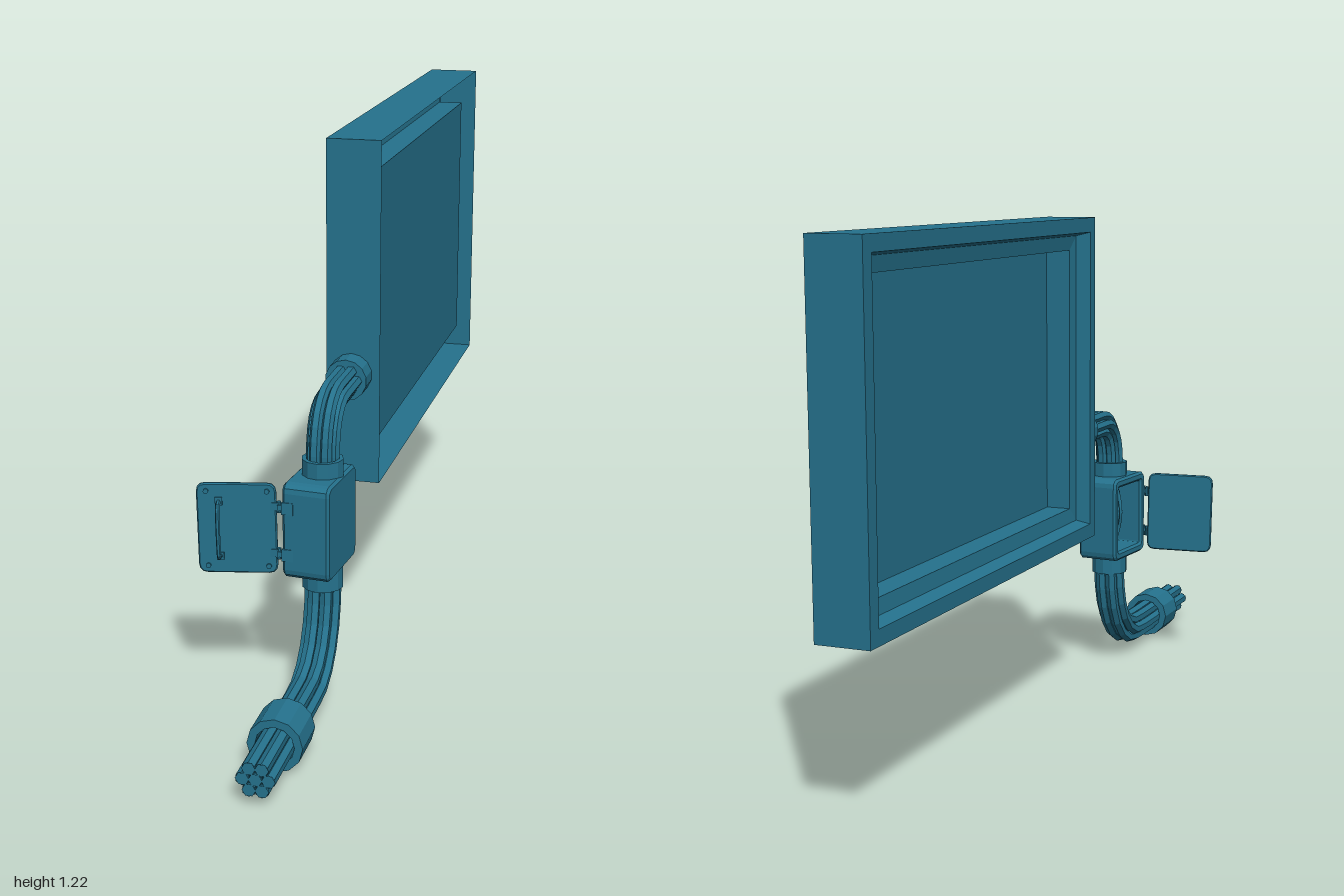
import * as THREE from 'three';

const TEAL = 0x25728d;
const mat = new THREE.MeshStandardMaterial({ color: TEAL, side: THREE.DoubleSide });
const flat = new THREE.MeshStandardMaterial({ color: TEAL, side: THREE.DoubleSide, flatShading: true });
const PX = 0.095; // x of the cable run

function add(parent, name, geo, material, x = 0, y = 0, z = 0) {
  const m = new THREE.Mesh(geo, material);
  m.name = name;
  m.position.set(x, y, z);
  parent.add(m);
  return m;
}

// Rounded rectangle centred on the origin
function roundRect(w, h, r, Type = THREE.Shape) {
  const s = new Type(), a = w / 2, b = h / 2;
  s.moveTo(-a + r, -b);
  s.lineTo(a - r, -b); s.quadraticCurveTo(a, -b, a, -b + r);
  s.lineTo(a, b - r); s.quadraticCurveTo(a, b, a - r, b);
  s.lineTo(-a + r, b); s.quadraticCurveTo(-a, b, -a, b - r);
  s.lineTo(-a, -b + r); s.quadraticCurveTo(-a, -b, -a + r, -b);
  return s;
}

// Bevelled rounded plate, w by h including the bevel
function plate(w, h, r, depth, bev, hole) {
  const s = roundRect(w - 2 * bev, h - 2 * bev, r);
  if (hole) s.holes.push(hole);
  return new THREE.ExtrudeGeometry(s, {
    depth, bevelSize: bev, bevelThickness: bev, bevelSegments: 1, curveSegments: 3,
  });
}

// Stepped sheet: rectangular loops, each inset and set at its own depth x
function signShell() {
  const loops = [[0, 0.163], [0, 0.035], [0.036, 0.035], [0.045, 0.07], [0.08, 0.075], [0.08, 0.137]];
  const pos = [], idx = [];
  for (const [i, x] of loops) {
    const z0 = -1 + i, z1 = 0.2 - i * 0.9, y0 = 0.412 + i, y1 = 1.225 - i;
    pos.push(x, y0, z0, x, y0, z1, x, y1, z1, x, y1, z0);
  }
  for (let k = 0; k < loops.length - 1; k++) {
    for (let j = 0; j < 4; j++) {
      const a = k * 4 + j, b = k * 4 + (j + 1) % 4;
      idx.push(a, a + 4, b, b, a + 4, b + 4);
    }
  }
  const e = (loops.length - 1) * 4;
  idx.push(e, e + 1, e + 2, e, e + 2, e + 3);
  const g = new THREE.BufferGeometry();
  g.setAttribute('position', new THREE.Float32BufferAttribute(pos, 3));
  g.setIndex(idx);
  const out = g.toNonIndexed();
  out.computeVertexNormals();
  return out;
}

// Seven cables packed around a path given as [z, y] points
function cableBundle(parent, name, pts, r) {
  const group = new THREE.Group();
  group.name = name;
  parent.add(group);
  const path = new THREE.CatmullRomCurve3(pts.map(([z, y]) => new THREE.Vector3(PX, y, z)));
  for (let c = 0; c < 7; c++) {
    const a = c * Math.PI / 3, off = c === 6 ? 0 : r * 1.85;
    const line = [];
    for (let i = 0; i <= 12; i++) {
      const p = path.getPointAt(i / 12), t = path.getTangentAt(i / 12);
      const n = new THREE.Vector3(0, -t.z, t.y);
      p.x += Math.cos(a) * off;
      line.push(p.addScaledVector(n, Math.sin(a) * off));
    }
    add(group, 'cable', new THREE.TubeGeometry(new THREE.CatmullRomCurve3(line), 14, r, 6), flat);
    add(group, 'cableEnd', new THREE.CircleGeometry(r, 6), flat, line[0].x, line[0].y, line[0].z)
      .lookAt(line[0].clone().multiplyScalar(2).sub(line[1]));
  }
}

// Sleeve with a wall, along y; inner 0 makes it solid
function sleeve(parent, name, r, inner, h, sides, y, z) {
  const prof = [[inner, -h / 2], [r, -h / 2], [r, h / 2], [inner, h / 2], [inner, -h / 2]];
  return add(parent, name, new THREE.LatheGeometry(prof.map(p => new THREE.Vector2(...p)), sides), flat, PX, y, z);
}

function junctionBox() {
  const box = new THREE.Group();
  box.name = 'junctionBox';
  box.position.set(PX - 0.005, 0.415, 0.466);
  box.rotation.y = -0.09;

  // Walls around the opening, which faces -x, and the plate closing the far side
  const W = 0.186, H = 0.222, bev = 0.006;
  const opening = roundRect(W - 0.036, H - 0.036, 0.01, THREE.Path);
  for (const [name, depth, hole] of [['boxWalls', 0.097, opening], ['boxBack', 0.008]]) {
    add(box, name, plate(W, H, 0.016, depth, bev, hole), flat, 0.047).rotation.y = -Math.PI / 2;
  }

  // Fittings inside
  for (const y of [-0.05, 0.05]) {
    add(box, 'terminalBlock', new THREE.BoxGeometry(0.03, 0.028, 0.11), flat, 0.025, y, 0);
    for (let i = -2; i <= 2; i++) {
      add(box, 'terminal', new THREE.BoxGeometry(0.012, 0.016, 0.012), flat, 0.005, y, i * 0.021);
    }
  }
  for (let i = -2; i <= 2; i++) {
    const wire = new THREE.CatmullRomCurve3([
      new THREE.Vector3(0.01, -0.1, i * 0.012), new THREE.Vector3(0, -0.05, i * 0.021),
      new THREE.Vector3(-0.01, 0, i * 0.018), new THREE.Vector3(0, 0.05, i * 0.021),
      new THREE.Vector3(0.01, 0.1, i * 0.012)]);
    add(box, 'innerWire', new THREE.TubeGeometry(wire, 16, 0.005, 6), mat);
  }
  return box;
}

function boxDoor() {
  const door = new THREE.Group();
  door.name = 'door';
  door.position.set(0.012, 0.417, 0.541);
  door.rotation.set(0, 0.17, 0.02);

  // Panel extends to -x from the hinge line
  const w = 0.177, h = 0.212;
  add(door, 'doorPanel', plate(w, h, 0.018, 0.004, 0.003), flat, -w / 2, 0, -0.002);
  // Corner screws
  for (const x of [-0.155, -0.02]) for (const y of [-0.088, 0.088]) {
    add(door, 'screw', new THREE.CylinderGeometry(0.006, 0.006, 0.006, 8), flat, x, y, 0.006).rotation.x = Math.PI / 2;
  }
  // Handle
  const grip = [[-0.065, 0], [-0.058, 0.03], [0, 0.034], [0.058, 0.03], [0.065, 0]];
  const curve = new THREE.CatmullRomCurve3(grip.map(([y, z]) => new THREE.Vector3(-0.127, y, z)), false, 'catmullrom', 0.2);
  add(door, 'handle', new THREE.TubeGeometry(curve, 20, 0.005, 6), flat);
  for (const y of [-0.065, 0.065]) {
    add(door, 'handleFoot', new THREE.BoxGeometry(0.016, 0.018, 0.006), flat, -0.127, y, 0.007);
  }
  return door;
}

export function createModel() {
  const model = new THREE.Group();
  model.name = 'signWithCableRun';

  add(model, 'signFrame', signShell(), mat);

  // Cable runs below and above the box
  cableBundle(model, 'lowerCables', [[1, 0.061], [0.85, 0.061], [0.65, 0.061], [0.585, 0.066], [0.525, 0.1],
    [0.48, 0.165], [0.461, 0.25], [0.46, 0.32]], 0.015);
  cableBundle(model, 'upperCables', [[0.19, 0.677], [0.33, 0.677], [0.39, 0.675], [0.435, 0.65], [0.458, 0.6],
    [0.462, 0.51]], 0.0135);

  // Sleeves
  sleeve(model, 'frontSleeve', 0.061, 0.043, 0.1, 12, 0.063, 0.81).rotation.x = Math.PI / 2;
  sleeve(model, 'frameSleeve', 0.049, 0, 0.07, 14, 0.677, 0.22).rotation.x = Math.PI / 2;
  sleeve(model, 'upperBoxSleeve', 0.047, 0.037, 0.045, 12, 0.54, 0.463);
  sleeve(model, 'lowerBoxSleeve', 0.047, 0.038, 0.055, 12, 0.285, 0.463);

  model.add(junctionBox(), boxDoor());

  // Hinges joining the door to the front of the box
  for (const y of [0.36, 0.47]) {
    const hinge = new THREE.Group();
    hinge.name = 'hinge';
    hinge.position.set(0.018, y, 0.547);
    add(hinge, 'hingePin', new THREE.CylinderGeometry(0.005, 0.005, 0.026, 8), flat);
    add(hinge, 'boxLeaf', new THREE.BoxGeometry(0.026, 0.028, 0.006), flat, 0.021, 0, 0.007);
    add(hinge, 'hingeArm', new THREE.BoxGeometry(0.016, 0.012, 0.006), flat, 0.006, 0, 0.004);
    add(hinge, 'doorLeaf', new THREE.BoxGeometry(0.02, 0.018, 0.005), flat, -0.01);
    model.add(hinge);
  }
  return model;
}
